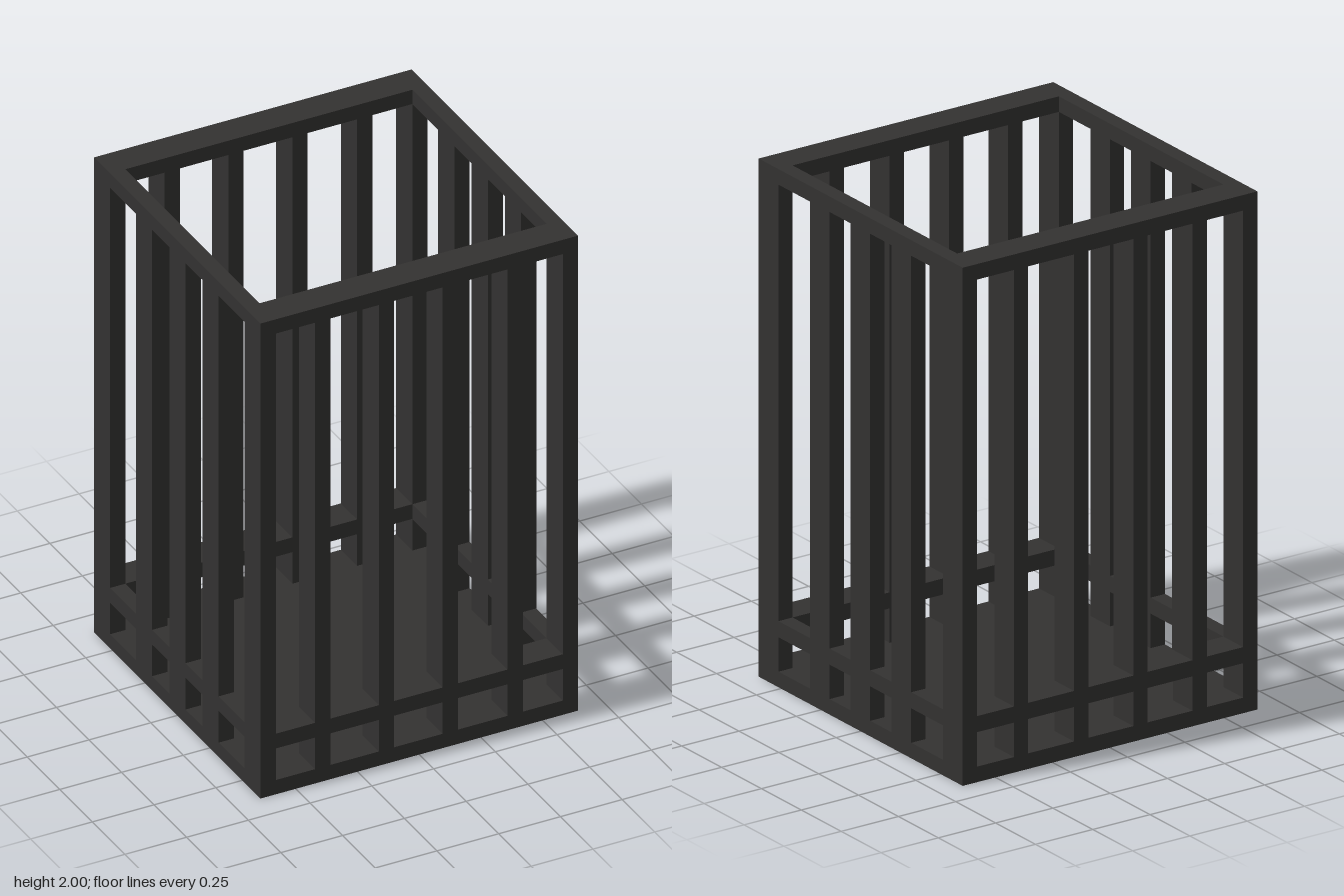
import * as THREE from 'three';

const HX = 0.643, HZ = 0.64, HEIGHT = 2;  // outer half sizes and height
const BX = 0.062, BZ = 0.124;             // bar section along x and z
const T = 0.06;                           // floor and rail thickness

export function createModel() {
  const cage = new THREE.Group();
  cage.name = 'cage';
  const material = new THREE.MeshStandardMaterial({ color: 0x333231 });

  const add = (name, geometry, x, y, z) => {
    const mesh = new THREE.Mesh(geometry, material);
    mesh.name = name;
    mesh.position.set(x, y, z);
    cage.add(mesh);
  };

  // Rectangular ring lying flat, from y upward
  const frame = (name, y, thickness) => {
    const rect = (Type, x, z) => new Type([
      new THREE.Vector2(-x, -z), new THREE.Vector2(x, -z),
      new THREE.Vector2(x, z), new THREE.Vector2(-x, z),
    ]);
    const shape = rect(THREE.Shape, HX, HZ);
    shape.holes.push(rect(THREE.Path, HX - BX, HZ - BZ));
    const geometry = new THREE.ExtrudeGeometry(shape, { depth: thickness, bevelEnabled: false });
    geometry.rotateX(-Math.PI / 2);
    add(name, geometry, 0, y, 0);
  };

  // Solid floor, lower rail and top rim
  add('floor', new THREE.BoxGeometry(2 * HX, T, 2 * HZ), 0, T / 2, 0);
  frame('lowerRail', 0.193, 0.062);
  frame('topRim', HEIGHT - T, T);

  // Upright bars between floor and rim
  const barHeight = HEIGHT - 2 * T;
  const bar = new THREE.BoxGeometry(BX, barHeight, BZ);
  const edgeX = HX - BX / 2, edgeZ = HZ - BZ / 2;

  for (const side of [-1, 1]) {
    for (const x of [-edgeX, -0.391, -0.133, 0.126, 0.388, edgeX]) {
      const name = Math.abs(x) === edgeX ? 'cornerPost' : side > 0 ? 'frontBar' : 'backBar';
      add(name, bar, x, HEIGHT / 2, side * edgeZ);
    }
    for (const z of [-0.255, 0.002, 0.257]) {
      add(side > 0 ? 'leftBar' : 'rightBar', bar, side * edgeX, HEIGHT / 2, z);
    }
  }
  return cage;
}
